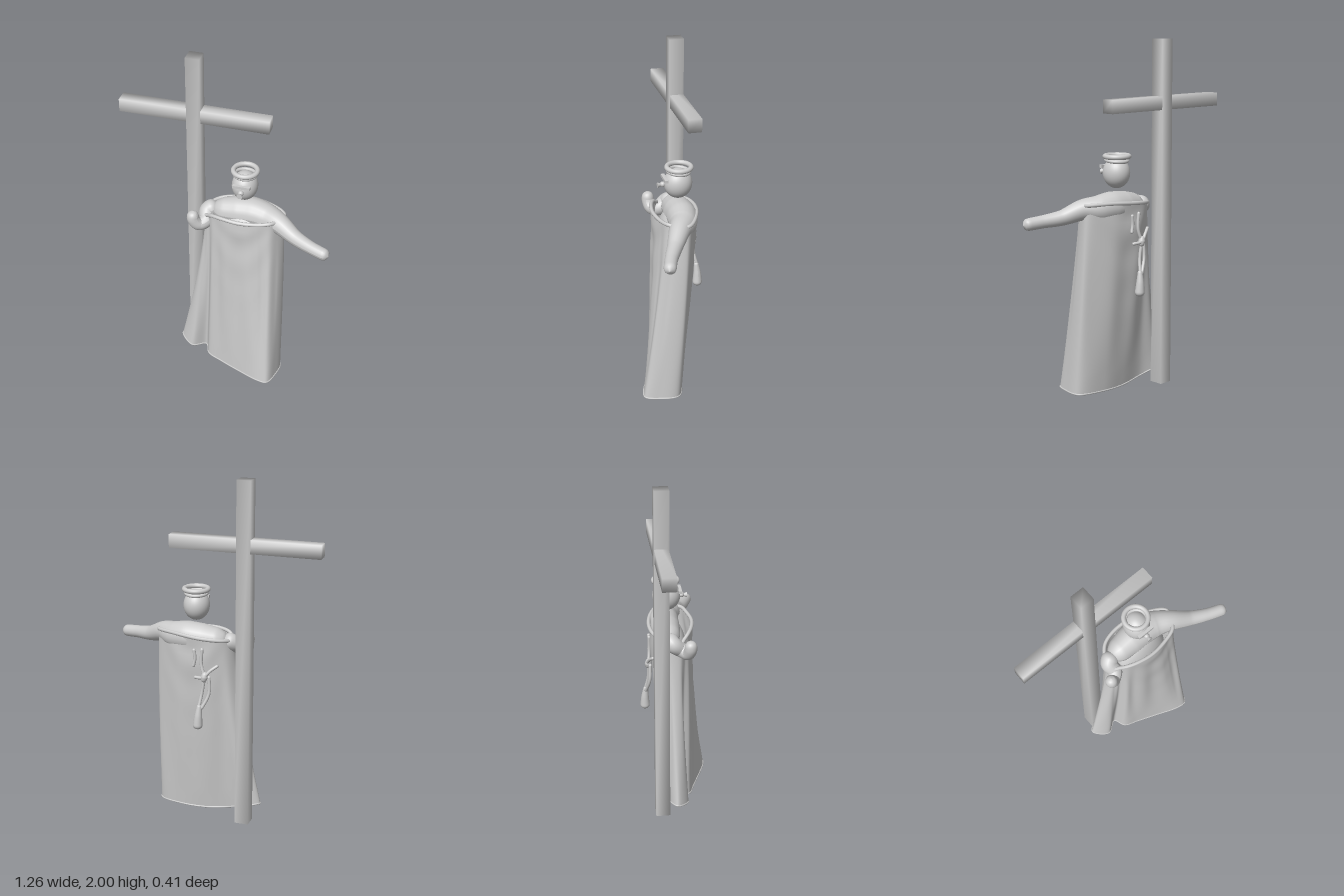
import * as THREE from 'three';
import { mergeVertices } from 'three/addons/utils/BufferGeometryUtils.js';

const V = (x, y, z) => new THREE.Vector3(x, y, z);

// Box with normals averaged across its edges for soft shading
function softBox(w, h, d) {
  const box = new THREE.BoxGeometry(w, h, d);
  box.deleteAttribute('normal');
  box.deleteAttribute('uv');
  const geo = mergeVertices(box);
  geo.computeVertexNormals();
  return geo;
}

export function createModel() {
  const model = new THREE.Group();
  const grey = new THREE.MeshStandardMaterial({ color: 0xcccccc, side: THREE.DoubleSide });
  grey.name = 'light grey';

  function add(name, geometry, x = 0, y = 0, z = 0, parent = model) {
    const mesh = new THREE.Mesh(geometry, grey);
    mesh.name = name;
    mesh.position.set(x, y, z);
    parent.add(mesh);
    return mesh;
  }

  // Tube whose radius follows a list of [x, y, z, radius] and whose ends are rounded
  function limb(name, stations, parent = model, n = 72) {
    const curve = new THREE.CatmullRomCurve3(stations.map(s => V(s[0], s[1], s[2])));
    const sides = 20, length = curve.getLength();
    const geo = new THREE.TubeGeometry(curve, n, 1, sides);
    const pos = geo.attributes.position, p = V(0, 0, 0);
    for (let i = 0; i <= n; i++) {
      const u = i / n, t = curve.getUtoTmapping(u) * (stations.length - 1);
      const k = Math.min(Math.floor(t), stations.length - 2);
      let r = THREE.MathUtils.lerp(stations[k][3], stations[k + 1][3], t - k);
      const d = Math.min(u, 1 - u) * length;
      if (d < r) r *= Math.sqrt(Math.max(0, 1 - (1 - d / r) ** 2));
      const c = curve.getPointAt(u);
      for (let j = 0; j <= sides; j++) {
        const q = i * (sides + 1) + j;
        p.fromBufferAttribute(pos, q).sub(c).multiplyScalar(r).add(c);
        pos.setXYZ(q, p.x, p.y, p.z);
      }
    }
    geo.computeVertexNormals();
    return add(name, geo, 0, 0, 0, parent);
  }

  // Cross
  const cross = new THREE.Group();
  cross.name = 'cross';
  model.add(cross);
  add('crossPost', softBox(0.08, 2, 0.082), -0.204, 1, -0.104, cross);
  add('crossBeam', softBox(0.86, 0.076, 0.076), -0.205, 1.642, -0.106, cross);

  // Robe: matching closed outlines at the top and hem, blended with hanging folds
  const top = [[0, 1.1, 0.085], [0.1, 1.1, 0.1], [0.21, 1.1, 0.085], [0.28, 1.105, 0.06], [0.315, 1.1, 0.01],
    [0.33, 1.105, -0.05], [0.2, 1.11, -0.125], [0.05, 1.1, -0.15], [-0.06, 1.09, -0.125],
    [-0.11, 1.08, -0.07], [-0.12, 1.06, -0.02], [-0.11, 1.06, 0.02], [-0.09, 1.07, 0.035], [-0.06, 1.09, 0.06]];
  const hem = [[0, 0.025, 0.1], [0.12, 0.018, 0.145], [0.26, 0.02, 0.198], [0.315, 0.02, 0.2], [0.345, 0.02, 0.13],
    [0.35, 0.02, 0.01], [0.2, 0.02, -0.04], [0.05, 0.02, -0.04], [-0.1, 0.04, -0.03],
    [-0.215, 0.08, -0.06], [-0.28, 0.085, -0.02], [-0.2, 0.06, 0.05], [-0.12, 0.05, 0.005], [-0.085, 0.04, 0.07]];
  const loop = pts => new THREE.CatmullRomCurve3(pts.map(p => V(...p)), true, 'centripetal');
  const topLoop = loop(top), hemLoop = loop(hem);
  const across = 140, down = 40;
  const position = [], index = [];
  for (let i = 0; i <= down; i++) {
    const v = i / down;
    for (let j = 0; j < across; j++) {
      const u = j / across;
      const a = topLoop.getPoint(u), b = hemLoop.getPoint(u);
      // the cloth drops almost straight from the rim, then spreads; the left side swells early
      const spread = Math.pow(v, 1.35);
      const x = THREE.MathUtils.lerp(a.x, b.x, a.x > 0.2 ? Math.pow(v, 0.8) : spread);
      const y = THREE.MathUtils.lerp(a.y, b.y, v);
      const z = THREE.MathUtils.lerp(a.z, b.z, spread);
      const middle = Math.max(0, 1 - Math.abs(x - 0.11) / 0.2);
      const drape = 0.005 * Math.sin(u * Math.PI * 22) * Math.sin(Math.PI * Math.min(1, v * 1.1));
      const swag = 0.01 * middle * Math.sin(28 * (v + (x - 0.11) ** 2 * 6)) * Math.exp(-6 * v) * Math.min(1, v * 12);
      position.push(x, y, z + drape + swag);
      if (i < down) {
        const q = i * across + j, r = i * across + (j + 1) % across;
        index.push(q, q + across, r, r, q + across, r + across);
      }
    }
  }
  const robe = new THREE.BufferGeometry();
  robe.setAttribute('position', new THREE.Float32BufferAttribute(position, 3));
  robe.setIndex(index);
  robe.computeVertexNormals();
  add('robe', robe);
  add('robeCollar', new THREE.TubeGeometry(topLoop, 120, 0.011, 8, true));
  add('robeHem', new THREE.TubeGeometry(hemLoop, 120, 0.005, 6, true));

  // Shoulders and outstretched left arm in one flowing form
  limb('shouldersAndLeftArm', [[-0.09, 1.075, -0.05, 0.055], [-0.03, 1.07, -0.05, 0.07], [0.06, 1.075, -0.055, 0.084],
    [0.15, 1.08, -0.055, 0.086], [0.23, 1.075, -0.04, 0.078], [0.31, 1.075, 0, 0.06],
    [0.42, 1.037, 0.055, 0.043], [0.52, 1.022, 0.1, 0.036], [0.63, 1.01, 0.137, 0.034]]);

  // Bent right arm curling round to the raised hand
  limb('rightArm', [[-0.06, 1.085, -0.06, 0.052], [-0.115, 1.055, -0.03, 0.047], [-0.11, 1.02, 0.015, 0.043],
    [-0.145, 1.01, 0.05, 0.037], [-0.172, 1.05, 0.063, 0.036], [-0.172, 1.1, 0.06, 0.032]]);

  // Torso under the cloth
  add('torso', new THREE.SphereGeometry(1, 32, 24), 0.1, 0.88, -0.01).scale.set(0.17, 0.22, 0.085);

  // Head, nose and eyewear
  const head = new THREE.Group();
  head.name = 'head';
  model.add(head);
  add('skull', new THREE.SphereGeometry(1, 32, 24), 0.1, 1.265, -0.045, head).scale.set(0.074, 0.086, 0.08);
  add('eyeBar', new THREE.BoxGeometry(0.1, 0.016, 0.02), 0.1, 1.298, 0.031, head);
  add('nose', new THREE.SphereGeometry(0.016, 16, 12), 0.1, 1.265, 0.042, head);
  add('noseTip', new THREE.ConeGeometry(0.016, 0.035, 16), 0.1, 1.263, 0.055, head).rotation.x = -Math.PI / 2;

  // Ringed cap
  const capRings = [[0.067, 0.014, 1.358, -0.05, 0], [0.06, 0.01, 1.335, -0.047, 0.08]];
  capRings.forEach(([radius, tube, y, z, tilt], i) => {
    add('capRing' + (i + 1), new THREE.TorusGeometry(radius, tube, 14, 48), 0.1, y, z, head).rotation.x = Math.PI / 2 - tilt;
  });

  // Knotted cords and pouch hanging on the back
  const tassel = new THREE.Group();
  tassel.name = 'backTassel';
  model.add(tassel);
  const cords = [
    [[0.08, 1.04, -0.15], [0.075, 0.98, -0.148], [0.085, 0.93, -0.15]],
    [[0.03, 1.05, -0.152], [0.035, 0.95, -0.152], [0.01, 0.87, -0.16]],
    [[-0.06, 0.95, -0.135], [-0.02, 0.92, -0.155], [0.02, 0.88, -0.165], [0.08, 0.87, -0.15]],
    [[0.01, 0.9, -0.16], [0.03, 0.78, -0.16], [0.045, 0.69, -0.18]],
    [[-0.01, 0.89, -0.15], [-0.01, 0.78, -0.155], [0.03, 0.69, -0.175]]
  ];
  cords.forEach((c, i) => limb('cord' + (i + 1), c.map(p => [...p, 0.009]), tassel, 32));
  limb('knot', [[0.01, 0.91, -0.155, 0.014], [0.015, 0.88, -0.16, 0.02], [0.02, 0.85, -0.16, 0.014]], tassel, 24);
  limb('pouch', [[0.04, 0.72, -0.172, 0.012], [0.045, 0.65, -0.178, 0.022], [0.05, 0.57, -0.178, 0.03]], tassel, 32);

  // Legs and feet just inside the hem
  for (const [x, z] of [[0.03, 0.03], [0.24, 0.08]]) {
    limb('leg', [[0.1 + (x - 0.13) * 0.6, 0.8, 0, 0.05], [x, 0.4, z * 0.6, 0.04], [x, 0.06, z, 0.03]]);
    add('foot', new THREE.SphereGeometry(1, 20, 14), x, 0.058, z + 0.01).scale.set(0.033, 0.035, 0.05);
  }

  return model;
}
